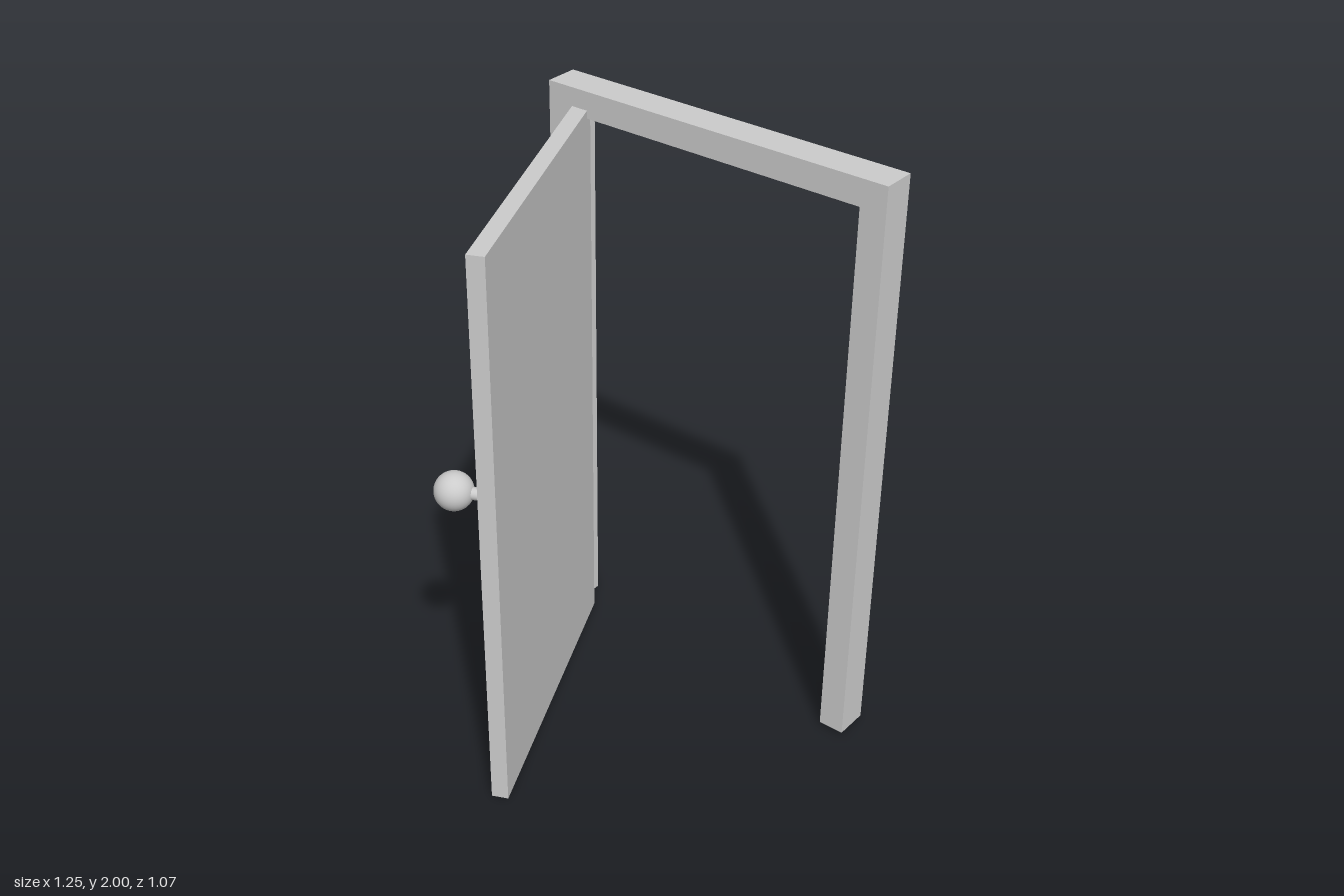
import * as THREE from 'three';

const material = new THREE.MeshStandardMaterial({ color: 0xcccccc });

function add(parent, name, geometry, x, y, z) {
  const mesh = new THREE.Mesh(geometry, material);
  mesh.name = name;
  mesh.position.set(x, y, z);
  parent.add(mesh);
  return mesh;
}

export function createModel() {
  const model = new THREE.Group();
  model.name = 'openDoor';

  // Door frame: two posts and a lintel between them
  const frame = new THREE.Group();
  frame.name = 'doorFrame';
  frame.position.z = -0.482;
  model.add(frame);
  const depth = 0.115, postWidth = 0.088, halfWidth = 0.623;
  for (const side of [-1, 1]) {
    add(frame, side > 0 ? 'leftPost' : 'rightPost',
      new THREE.BoxGeometry(postWidth, 1.99, depth),
      side * (halfWidth - postWidth / 2), 1.005, 0);
  }
  add(frame, 'lintel',
    new THREE.BoxGeometry(2 * (halfWidth - postWidth), 0.088, depth), 0, 1.956, 0);

  // Door swung open about its hinge; local x runs along the leaf, +z is the knob face
  const door = new THREE.Group();
  door.name = 'door';
  door.position.set(-0.535, 0, -0.435);
  door.rotation.y = -Math.atan2(0.97, 0.45);
  model.add(door);
  const length = 1.069, height = 1.938, thickness = 0.055;
  add(door, 'doorLeaf', new THREE.BoxGeometry(length, height, thickness),
    length / 2, height / 2, -thickness / 2);

  // Back plate, stem and round knob
  const knobX = 0.85, knobY = 1.016;
  add(door, 'backPlate', new THREE.BoxGeometry(0.142, 0.26, 0.025), knobX, knobY, 0.0125);
  const stem = add(door, 'knobStem', new THREE.CylinderGeometry(0.02, 0.02, 0.11, 32),
    knobX, knobY, 0.07);
  stem.rotation.x = Math.PI / 2;
  add(door, 'knob', new THREE.SphereGeometry(0.063, 32, 20), knobX, knobY, 0.151);

  return model;
}
